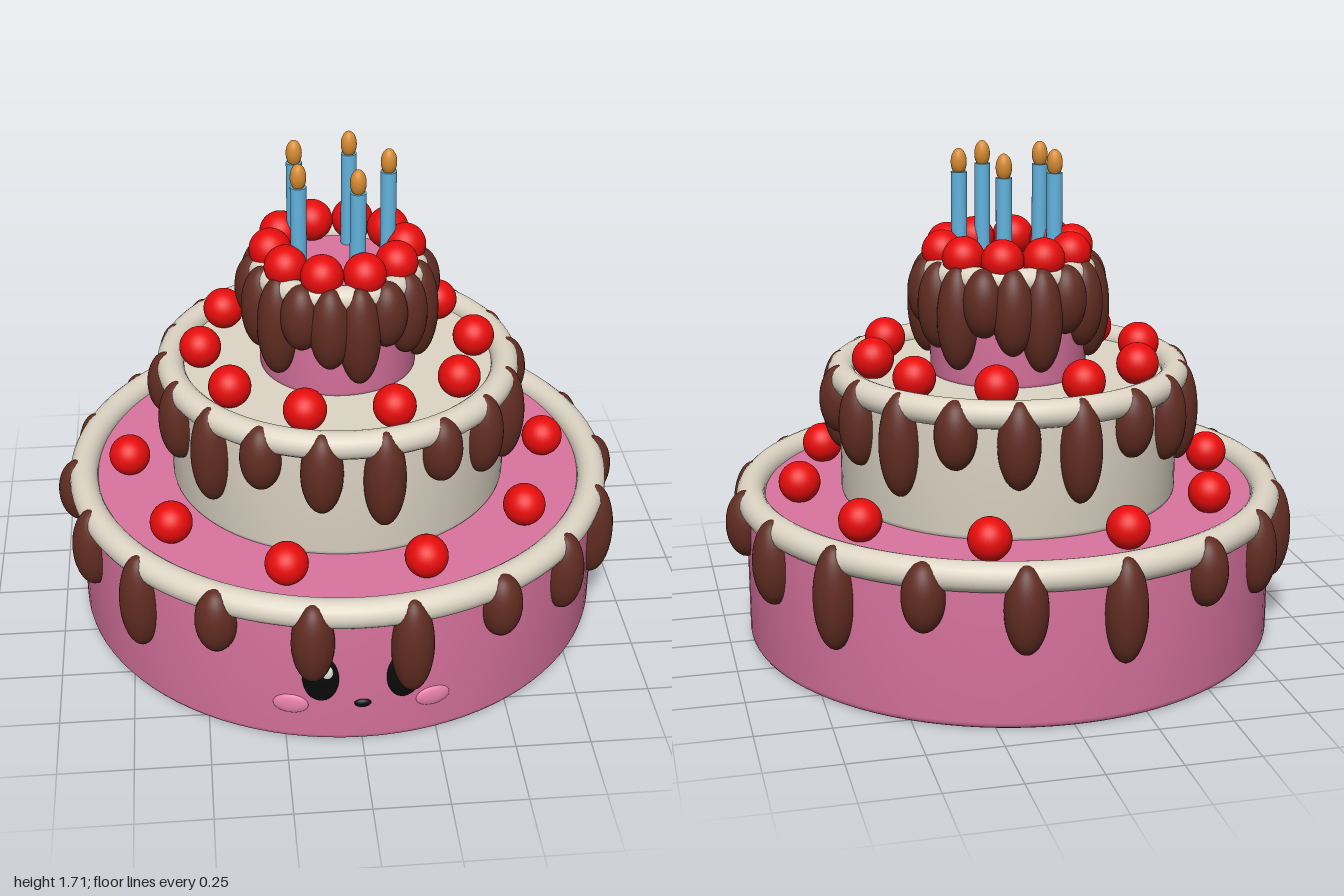
import * as THREE from 'three';
import { toCreasedNormals } from 'three/addons/utils/BufferGeometryUtils.js';

const mat = (name, color) => {
  const m = new THREE.MeshStandardMaterial({ color });
  m.name = name;
  return m;
};

export function createModel() {
  const pink = mat('pink icing', 0xdb749f);
  const cream = mat('cream', 0xded5c5);
  const chocolate = mat('chocolate', 0x602c21);
  const red = mat('cherry red', 0xe80c0c);
  const blue = mat('candle blue', 0x62b3de);
  const orange = mat('flame orange', 0xd68a30);
  const black = mat('black', 0x0a0a0a);
  const white = mat('white', 0xf5f2ee);
  const blush = mat('blush pink', 0xe680a8);

  const cake = new THREE.Group();
  cake.name = 'cake';
  const sphere = new THREE.SphereGeometry(1, 32, 20);

  const add = (parent, name, geometry, material, x = 0, y = 0, z = 0) => {
    const mesh = new THREE.Mesh(geometry, material);
    mesh.name = name;
    mesh.position.set(x, y, z);
    parent.add(mesh);
    return mesh;
  };

  // Calls place(x, z, index) for evenly spaced points on a circle
  const ring = (count, radius, place) => {
    for (let i = 0; i < count; i++) {
      const a = (i / count) * Math.PI * 2;
      place(Math.cos(a) * radius, Math.sin(a) * radius, i);
    }
  };

  // Round tier with a softened bottom edge
  const tierBody = (r, y0, y1) => {
    const b = 0.025;
    const profile = [new THREE.Vector2(0, y0)];
    for (let i = 0; i <= 4; i++) {
      const a = (i / 4) * Math.PI / 2;
      profile.push(new THREE.Vector2(r - b + b * Math.sin(a), y0 + b - b * Math.cos(a)));
    }
    profile.push(new THREE.Vector2(r, y1), new THREE.Vector2(0, y1));
    return toCreasedNormals(new THREE.LatheGeometry(profile, 96), 0.7);
  };

  const tiers = [
    { name: 'bottomTier', r: 0.923, y0: 0, y1: 0.51, body: pink, rim: 0.905, tube: 0.05, drip: 0.928, cherry: 0.74 },
    { name: 'middleTier', r: 0.588, y0: 0.5, y1: 0.935, body: cream, rim: 0.58, tube: 0.047, drip: 0.592, cherry: 0.475 },
    { name: 'topTier', r: 0.27, y0: 0.92, y1: 1.298, body: pink, rim: 0.262, tube: 0.045, drip: 0.28, cherry: 0.228 },
  ];
  const dripHalfHeights = [0.118, 0.178, 0.148];

  for (const t of tiers) {
    const tier = new THREE.Group();
    tier.name = t.name;
    cake.add(tier);
    add(tier, 'tierBody', tierBody(t.r, t.y0, t.y1), t.body);

    // Piped cream rim
    const rim = new THREE.TorusGeometry(t.rim, t.tube, 18, 96).rotateX(Math.PI / 2);
    add(tier, 'creamRim', rim, cream, 0, t.y1, 0);

    // Chocolate drips in three repeating lengths
    ring(18, t.drip, (x, z, i) => {
      const h = dripHalfHeights[i % 3];
      add(tier, 'chocolateDrip', sphere, chocolate, x, t.y1 + 0.046 - h, z).scale.set(0.071, h, 0.071);
    });

    // Cherries
    ring(10, t.cherry, (x, z) => {
      add(tier, 'cherry', sphere, red, x, t.y1 + 0.063, z).scale.setScalar(0.072);
    });
  }

  // Candles
  const stick = new THREE.CylinderGeometry(0.027, 0.027, 0.35, 24);
  ring(5, 0.17, (x, z) => {
    const candle = new THREE.Group();
    candle.name = 'candle';
    candle.position.set(x, 0, z);
    cake.add(candle);
    add(candle, 'candleStick', stick, blue, 0, 1.455, 0);
    add(candle, 'flame', sphere, orange, 0, 1.663, 0).scale.set(0.027, 0.046, 0.027);
  });

  // Face: flattened ovals lying on the front of the bottom tier
  const face = new THREE.Group();
  face.name = 'face';
  cake.add(face);
  const oval = (name, material, x, y, rx, ry, depth, lift = 0) => {
    const r = 0.922 + lift;
    const a = Math.asin(x / r);
    const m = add(face, name, sphere, material, x, y, r * Math.cos(a));
    m.rotation.y = a;
    m.scale.set(rx, ry, depth);
  };
  for (const s of [-1, 1]) {
    oval('eye', black, s * 0.137, 0.26, 0.06, 0.092, 0.016);
    oval('eyeHighlight', white, s * 0.137 + 0.02, 0.295, 0.02, 0.027, 0.007, 0.013);
    oval('cheek', blush, s * 0.234, 0.148, 0.059, 0.037, 0.014);
  }
  oval('mouth', black, 0, 0.158, 0.028, 0.016, 0.012);

  return cake;
}
